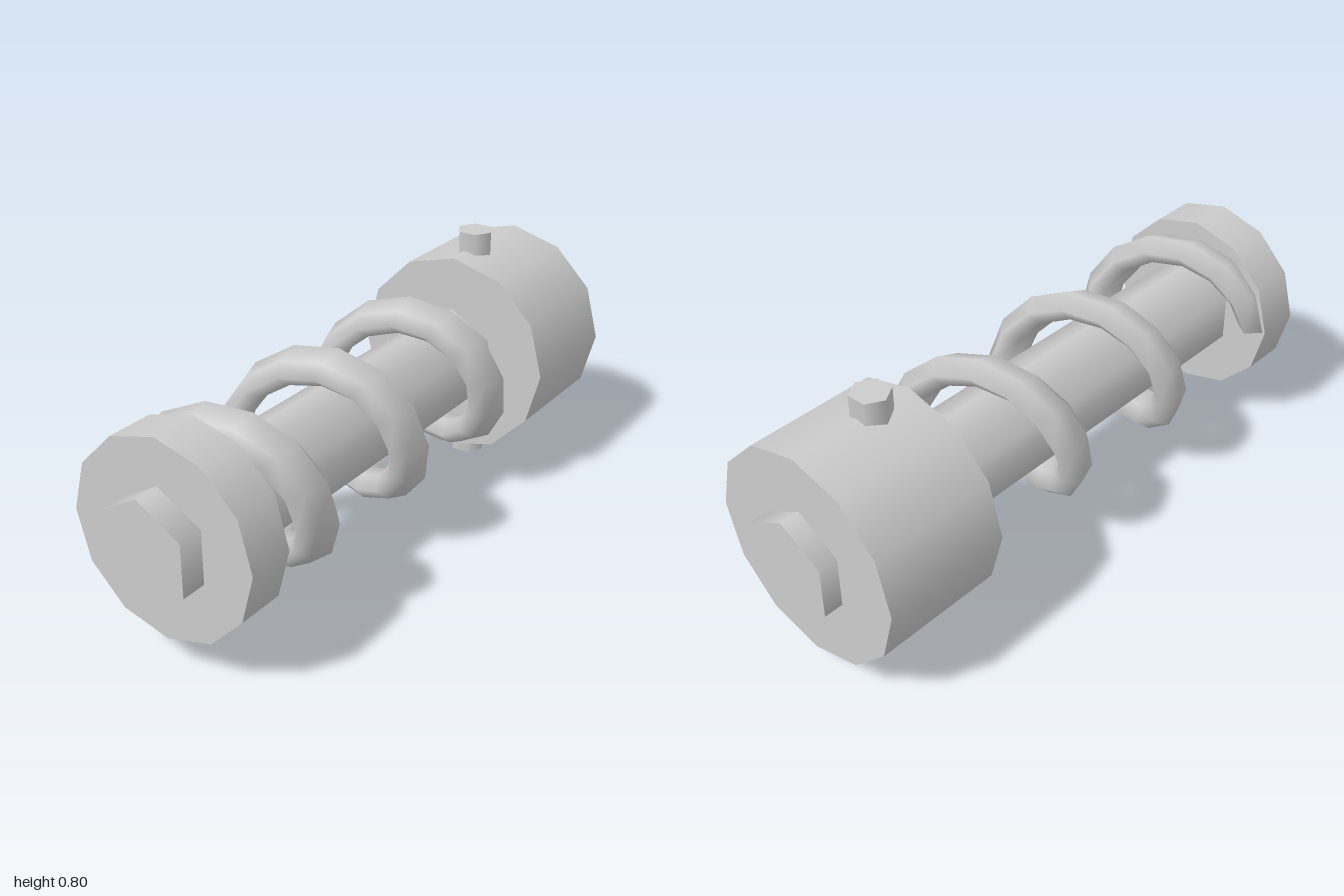
import * as THREE from 'three';

const AXIS_Y = 0.4; // height of the main axis

// Slanted six-sided wire section: [distance from axis, offset along z]
const WIRE = [
  [0.292, -0.01], [0.268, 0.065], [0.228, 0.1],
  [0.192, 0.055], [0.204, -0.02], [0.25, -0.055],
];

// Screws the wire section around the z axis, from the right side at the front backwards
function coilGeometry(zStart, zEnd, turns, steps) {
  const n = WIRE.length;
  const positions = [];
  const index = [];
  for (let i = 0; i <= steps; i++) {
    const t = i / steps;
    const a = Math.PI - t * turns * Math.PI * 2;
    const z = THREE.MathUtils.lerp(zStart, zEnd, t);
    for (const [r, dz] of WIRE) positions.push(Math.cos(a) * r, Math.sin(a) * r, z + dz);
  }
  for (let i = 0; i < steps; i++) {
    for (let j = 0; j < n; j++) {
      const a = i * n + j;
      const b = i * n + (j + 1) % n;
      index.push(a, b, b + n, a, b + n, a + n);
    }
  }
  // flat cut ends
  const last = steps * n;
  for (let k = 1; k < n - 1; k++) {
    index.push(0, k + 1, k, last, last + k, last + k + 1);
  }
  const geometry = new THREE.BufferGeometry();
  geometry.setAttribute('position', new THREE.Float32BufferAttribute(positions, 3));
  geometry.setIndex(index);
  geometry.computeVertexNormals();
  return geometry;
}

export function createModel() {
  const group = new THREE.Group();
  const material = new THREE.MeshStandardMaterial({ color: 0xcccccc });

  const add = (name, geometry) => {
    const mesh = new THREE.Mesh(geometry, material);
    mesh.name = name;
    mesh.position.y = AXIS_Y;
    group.add(mesh);
    return mesh;
  };

  // Cylinder lying along z between two depths
  const addAxial = (name, radius, sides, z0, z1) => {
    const geometry = new THREE.CylinderGeometry(radius, radius, z1 - z0, sides);
    geometry.rotateX(Math.PI / 2);
    add(name, geometry).position.z = (z0 + z1) / 2;
  };

  addAxial('rod', 0.162, 6, -1, 1);
  addAxial('frontCollar', 0.302, 12, 0.77, 0.92);
  addAxial('rearBlock', 0.338, 12, -0.94, -0.53);

  // Vertical cross pin through the rear block, corners pointing sideways
  const pin = new THREE.CylinderGeometry(0.06, 0.06, 0.8, 6);
  pin.rotateY(Math.PI / 6);
  add('crossPin', pin).position.z = -0.665;

  // Coil spring between collar and block
  add('spring', coilGeometry(0.78, -0.6, 3, 40));

  return group;
}
